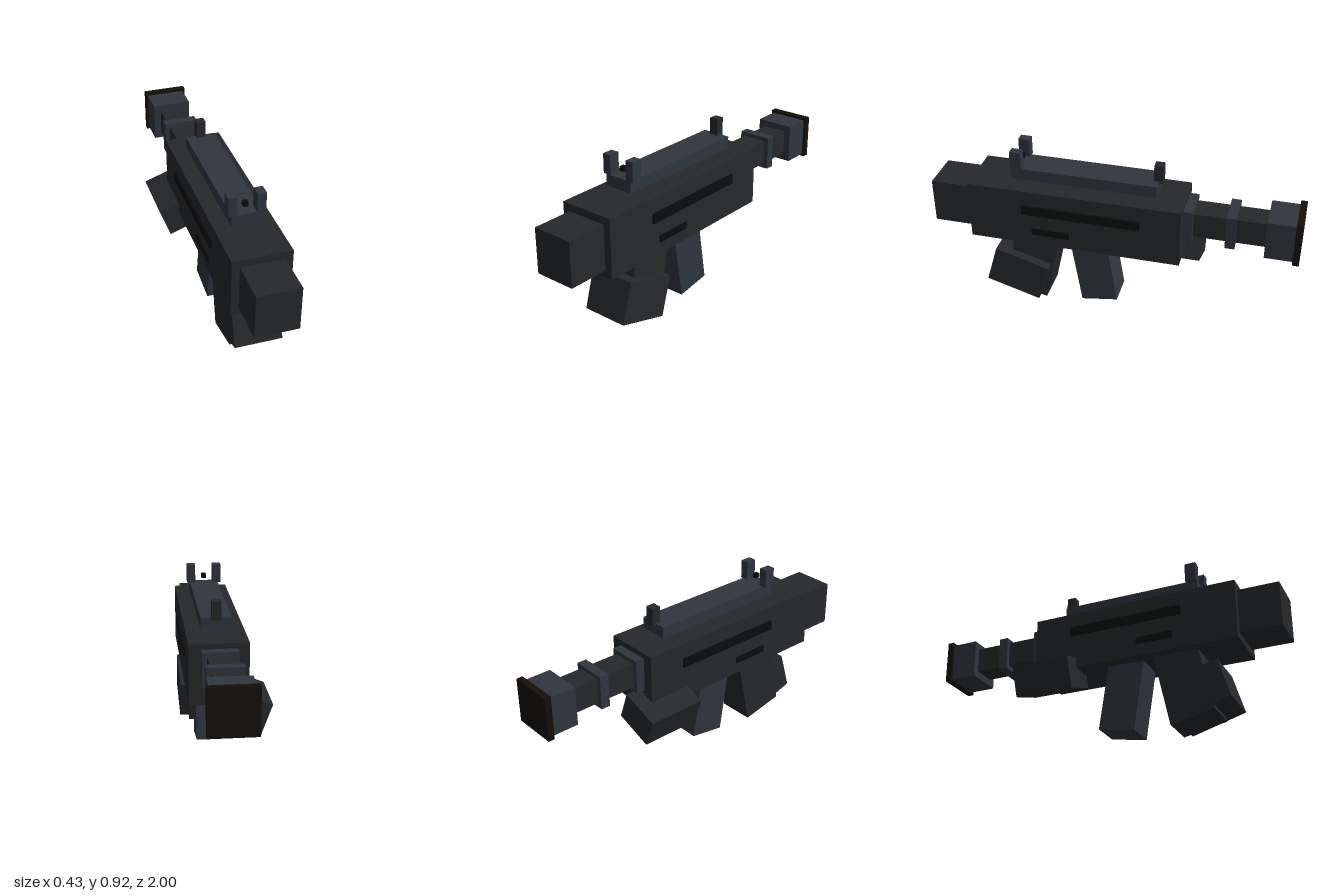
import * as THREE from 'three';

export function createModel() {
  const model = new THREE.Group();
  const mat = (color) => new THREE.MeshStandardMaterial({ color, flatShading: true });
  const dark = mat(0x26282b);
  const steel = mat(0x2f353f);
  const black = mat(0x0b0c0d);
  const cap = mat(0x150f0a);

  // Box given by its extents along each axis
  const block = (name, material, [x0, x1], [y0, y1], [z0, z1]) => {
    const mesh = new THREE.Mesh(new THREE.BoxGeometry(x1 - x0, y1 - y0, z1 - z0), material);
    mesh.position.set((x0 + x1) / 2, (y0 + y1) / 2, (z0 + z1) / 2);
    mesh.name = name;
    model.add(mesh);
    return mesh;
  };

  // Box given by size and centre, tilted by degrees about x or z
  const tilted = (name, material, size, centre, axis, degrees) => {
    const mesh = new THREE.Mesh(new THREE.BoxGeometry(...size), material);
    mesh.position.set(...centre);
    mesh.rotation[axis] = THREE.MathUtils.degToRad(degrees);
    mesh.name = name;
    model.add(mesh);
    return mesh;
  };

  // Receiver and stock
  block('receiver', dark, [-0.107, 0.204], [0.397, 0.725], [-0.385, 0.775]);
  block('stock', dark, [-0.066, 0.163], [0.437, 0.684], [0.775, 1]);

  // Side slots, running through the receiver and standing proud on both sides
  block('upperSlots', black, [-0.119, 0.217], [0.588, 0.64], [-0.17, 0.475]);
  block('lowerSlots', black, [-0.115, 0.212], [0.463, 0.5], [0.217, 0.425]);

  // Top rail and sights
  block('rail', steel, [-0.032, 0.129], [0.752, 0.816], [-0.24, 0.547]);
  for (const [name, x] of [['rearSightRight', -0.026], ['rearSightLeft', 0.122]]) {
    block(name, steel, [x - 0.023, x + 0.023], [0.815, 0.92], [0.486, 0.547]);
  }
  block('rearSightDot', black, [0.036, 0.062], [0.841, 0.866], [0.496, 0.522]);
  block('frontSight', dark, [0.024, 0.073], [0.805, 0.908], [-0.262, -0.213]);

  // Barrel with collars and muzzle
  block('barrel', dark, [-0.024, 0.114], [0.533, 0.673], [-0.82, -0.38]);
  for (const z of [-0.41, -0.636]) {
    block('barrelCollar', steel, [-0.05, 0.14], [0.507, 0.695], [z - 0.026, z + 0.026]);
  }
  block('muzzle', steel, [-0.064, 0.154], [0.492, 0.709], [-0.965, -0.818]);
  block('muzzleCap', cap, [-0.077, 0.169], [0.48, 0.724], [-1, -0.965]);

  // Grips and magazine
  tilted('foreGrip', dark, [0.225, 0.171, 0.333], [-0.082, 0.376, -0.304], 'z', 20);
  tilted('magazine', steel, [0.174, 0.45, 0.204], [0.052, 0.251, 0.104], 'x', 9);
  tilted('pistolGrip', dark, [0.206, 0.45, 0.245], [0.049, 0.245, 0.451], 'x', -12);
  tilted('gripBlock', dark, [0.26, 0.226, 0.312], [0.074, 0.17, 0.525], 'x', -16.5);

  return model;
}
